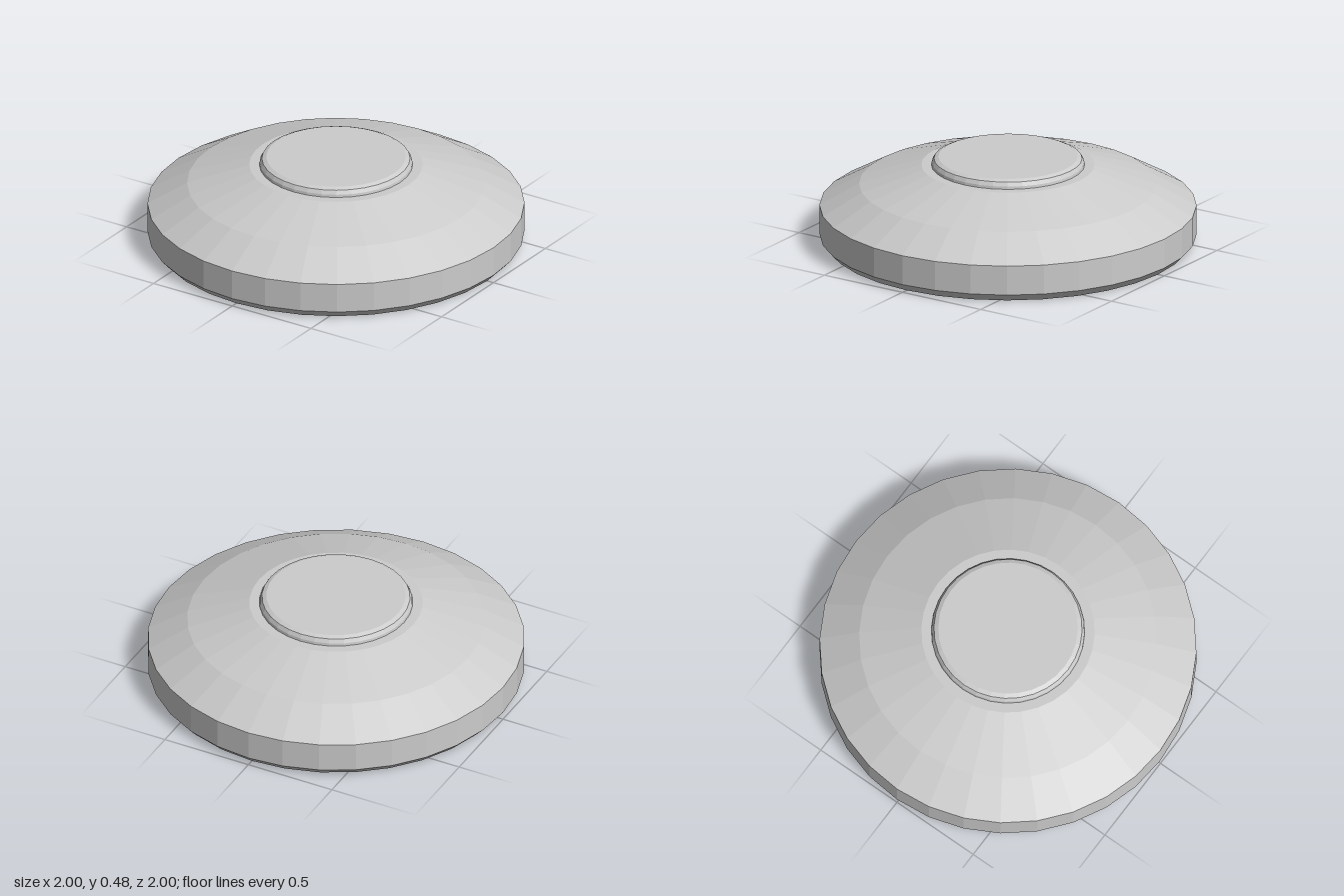
import * as THREE from 'three';

const SIDES = 32;

// Faceted solid of revolution from [radius, height] pairs, bottom to top
function turned(name, profile) {
  const points = profile.map(([r, y]) => new THREE.Vector2(r, y));
  const material = new THREE.MeshStandardMaterial({ color: 0xcccccc, flatShading: true });
  const mesh = new THREE.Mesh(new THREE.LatheGeometry(points, SIDES), material);
  mesh.name = name;
  return mesh;
}

export function createModel() {
  const model = new THREE.Group();
  model.name = 'domedDisc';

  // Wide disc: chamfered foot, upright rim and two-step sloping shoulder
  model.add(turned('body', [
    [0, 0], [0.96, 0], [1, 0.043], [1, 0.205], [0.79, 0.325], [0.46, 0.432], [0, 0.432],
  ]));

  // Low round cap with a softened upper edge
  model.add(turned('topCap', [
    [0, 0.425], [0.408, 0.425], [0.405, 0.447], [0.393, 0.468], [0.37, 0.478], [0, 0.478],
  ]));

  return model;
}
